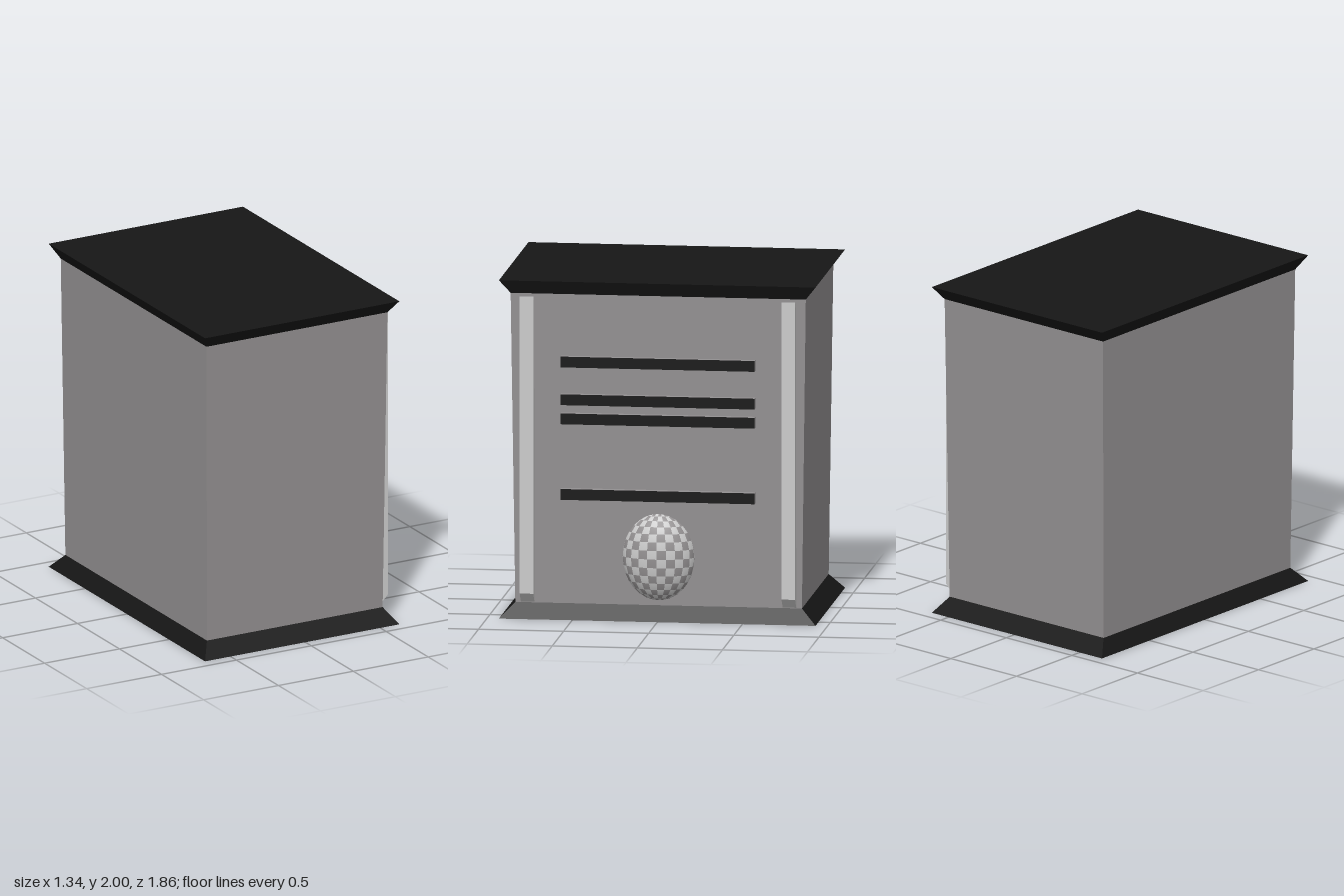
import * as THREE from 'three';

const grey = new THREE.MeshStandardMaterial({ color: 0xcccccc });
const paint = new THREE.MeshStandardMaterial({ color: 0x939091 });
const dark = new THREE.MeshStandardMaterial({ color: 0x161616 });

function addMesh(parent, name, geometry, material) {
  const mesh = new THREE.Mesh(geometry, material);
  mesh.name = name;
  parent.add(mesh);
  return mesh;
}

// Box whose bottom and top rectangles differ; each level is { y, x0, x1, z }
function taperedBox(bottom, top) {
  const geometry = new THREE.BoxGeometry(1, 1, 1);
  const p = geometry.attributes.position;
  for (let i = 0; i < p.count; i++) {
    const level = p.getY(i) < 0 ? bottom : top;
    p.setXYZ(i, p.getX(i) < 0 ? level.x0 : level.x1, level.y, Math.sign(p.getZ(i)) * level.z);
  }
  geometry.computeVertexNormals();
  return geometry;
}

// Every other cell of a sphere's grid, for a checkered surface
function checkerCells(parity, columns = 24, rows = 16) {
  const geometry = new THREE.SphereGeometry(1, columns, rows);
  const index = [];
  const stride = columns + 1;
  for (let r = 0; r < rows; r++) {
    for (let c = 0; c < columns; c++) {
      if ((r + c) % 2 !== parity) continue;
      const a = r * stride + c, b = a + 1, d = a + stride, e = d + 1;
      if (r > 0) index.push(b, a, e);
      if (r < rows - 1) index.push(a, d, e);
    }
  }
  geometry.setIndex(index);
  return geometry;
}

export function createModel() {
  const group = new THREE.Group();
  group.name = 'cabinet';

  // Flared base, slightly widening body and flared lid
  const ground = { y: 0, x0: -0.67, x1: 0.627, z: 0.93 };
  const waist = { y: 0.09, x0: -0.608, x1: 0.565, z: 0.842 };
  const shoulder = { y: 1.92, x0: -0.625, x1: 0.583, z: 0.867 };
  const roof = { y: 2, x0: -0.67, x1: 0.627, z: 0.93 };
  addMesh(group, 'base', taperedBox(ground, waist), dark);
  addMesh(group, 'body', taperedBox(waist, shoulder), paint);
  addMesh(group, 'lid', taperedBox(shoulder, roof), dark);

  // Upright rails with slanted ends
  const profile = new THREE.Shape([
    new THREE.Vector2(0.56, 0.09),
    new THREE.Vector2(0.567, 0.095),
    new THREE.Vector2(0.621, 0.15),
    new THREE.Vector2(0.621, 1.907),
    new THREE.Vector2(0.575, 1.855),
  ]);
  const railGeometry = new THREE.ExtrudeGeometry(profile, { depth: 0.08, bevelEnabled: false });
  railGeometry.translate(0, 0, -0.04);
  for (const side of [1, -1]) {
    const rail = addMesh(group, side > 0 ? 'frontRail' : 'backRail', railGeometry, grey);
    rail.position.z = side * 0.769;
  }

  // Horizontal drive slots, dark on the outward face only
  const slotMaterials = [dark, paint, paint, paint, paint, paint];
  for (const y of [1.523, 1.3, 1.187, 0.74]) {
    const slot = addMesh(group, 'slot', new THREE.BoxGeometry(0.05, 0.064, 1.14), slotMaterials);
    slot.position.set(0.588, y, 0);
  }

  // Checkered oval dome
  const dome = new THREE.Group();
  dome.name = 'dome';
  dome.position.set(0.54, 0.376, 0);
  dome.scale.set(0.126, 0.262, 0.217);
  addMesh(dome, 'lightChecks', checkerCells(0), grey);
  addMesh(dome, 'darkChecks', checkerCells(1), paint);
  group.add(dome);

  return group;
}
